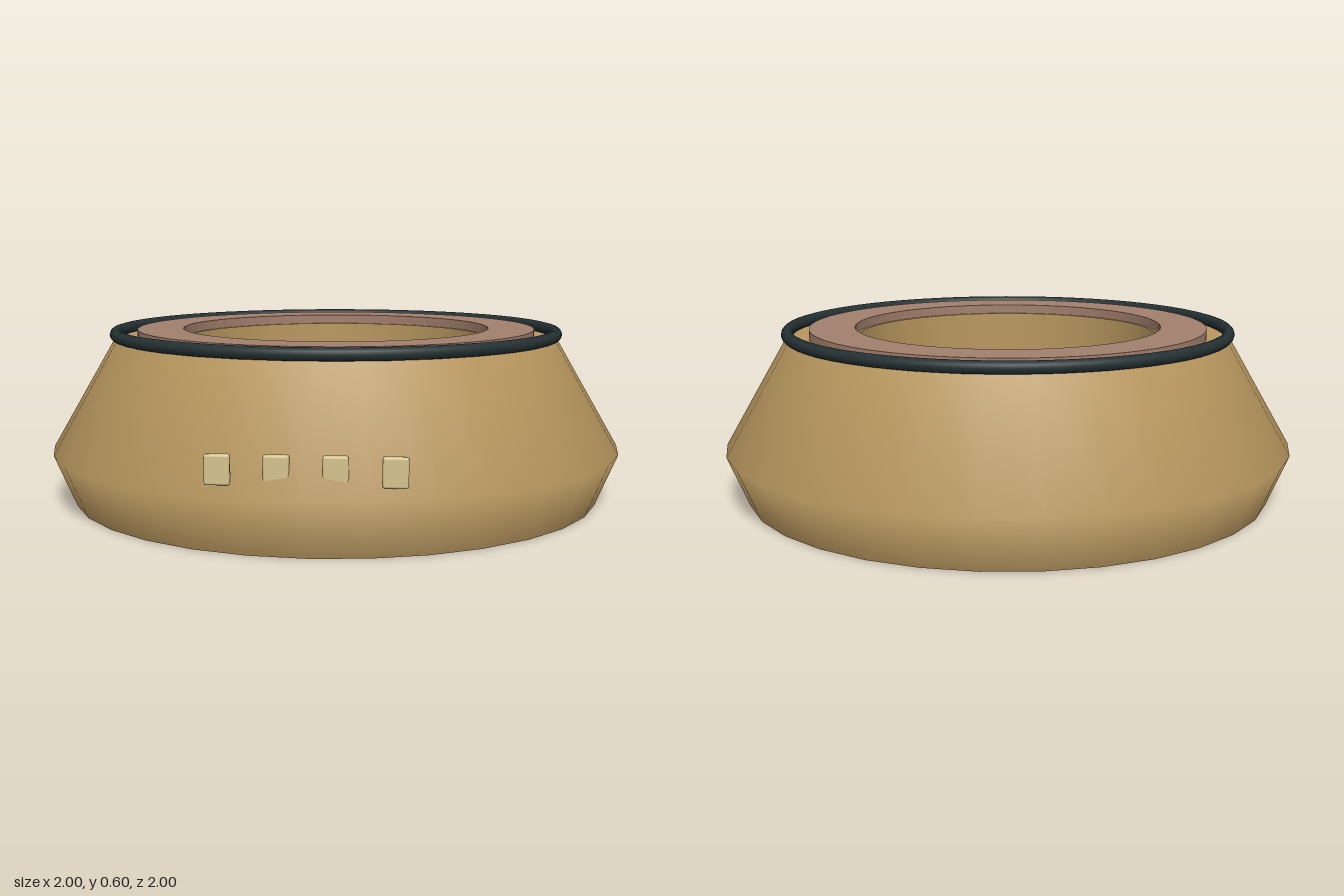
import * as THREE from 'three';
import { RoundedBoxGeometry } from 'three/addons/geometries/RoundedBoxGeometry.js';

function material(name, color) {
  const m = new THREE.MeshStandardMaterial({ color });
  m.name = name;
  return m;
}

export function createModel() {
  const tan = material('tan shell', 0xb8975f);
  const brown = material('dusty brown', 0xa27f6d);
  const dark = material('dark slate', 0x253133);
  const cream = material('pale cream', 0xd6c490);

  const model = new THREE.Group();
  model.name = 'roundBase';

  const add = (name, geometry, mat, x = 0, y = 0, z = 0) => {
    const mesh = new THREE.Mesh(geometry, mat);
    mesh.name = name;
    mesh.position.set(x, y, z);
    model.add(mesh);
    return mesh;
  };
  // Profile pairs [radius, height] spun around the y axis
  const lathe = (points, sides) =>
    new THREE.LatheGeometry(points.map(([r, y]) => new THREE.Vector2(r, y)), sides);

  // Body: separate lathes keep the rims crisp
  add('underside', lathe([[0, 0], [0.925, 0]], 32), tan);
  add('outerShell', lathe([[0.925, 0], [1, 0.18], [0.78, 0.56]], 32), tan);
  add('topRim', lathe([[0.78, 0.56], [0.53, 0.56]], 64), tan);
  add('wellWall', lathe([[0.53, 0.56], [0.53, 0.03]], 64), tan);
  add('wellFloor', lathe([[0.53, 0.03], [0, 0.03]], 64), tan);

  // Dark plate at the bottom of the well, with a small central tab
  add('wellPlate', new THREE.CylinderGeometry(0.52, 0.52, 0.03, 64), dark, 0, 0.045, 0);
  add('centreTab', new THREE.BoxGeometry(0.02, 0.03, 0.075), brown, 0, 0.075, 0);

  // Flat brown collar: outer wall, top face, inner wall
  const collar = new THREE.Shape().absarc(0, 0, 0.7, 0, Math.PI * 2);
  collar.holes.push(new THREE.Path().absarc(0, 0, 0.54, 0, Math.PI * 2, true));
  const collarGeometry = new THREE.ExtrudeGeometry(collar, {
    depth: 0.035, bevelEnabled: false, curveSegments: 64,
  });
  collarGeometry.rotateX(-Math.PI / 2);
  add('collar', collarGeometry, brown, 0, 0.558, 0);

  // Dark round trim on the upper edge
  const trim = new THREE.TorusGeometry(0.775, 0.021, 12, 64);
  trim.rotateX(Math.PI / 2);
  add('trimRing', trim, dark, 0, 0.578, 0);

  // Row of four buttons on the front
  for (let i = 0; i < 4; i++) {
    add('button' + (i + 1), new RoundedBoxGeometry(0.075, 0.09, 0.028, 2, 0.007),
      cream, (i - 1.5) * 0.171, 0.263, 0.943);
  }

  return model;
}
